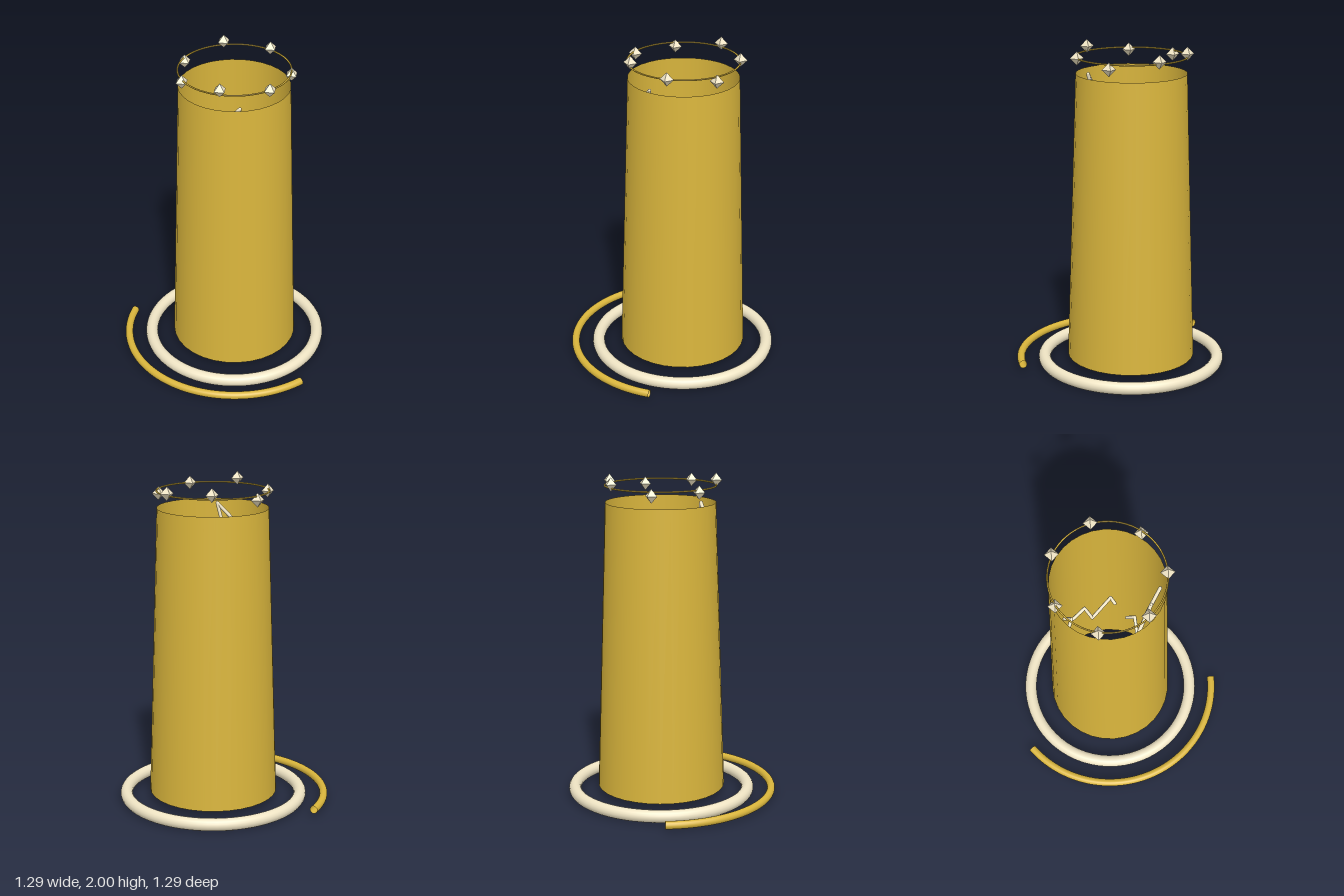
import * as THREE from 'three';

const C = -0.067; // the shaft axis sits slightly off the origin, in x and z

export function createModel() {
  const group = new THREE.Group();
  const gold = new THREE.MeshStandardMaterial({ color: 0xd9b53c });
  const goldThin = new THREE.MeshStandardMaterial({ color: 0xd9b53c, side: THREE.DoubleSide });
  const cream = new THREE.MeshStandardMaterial({ color: 0xefe4c4 });

  const add = (name, geometry, material, x, y, z, parent = group) => {
    const mesh = new THREE.Mesh(geometry, material);
    mesh.name = name;
    mesh.position.set(x, y, z);
    parent.add(mesh);
    return mesh;
  };

  // Open tapered shaft
  add('shaft', new THREE.CylinderGeometry(0.333, 0.393, 1.77, 32, 1, true), goldThin, C, 0.945, C);

  // Ground ring, partial outer arc and thin halo above the shaft
  const flatRing = (name, radius, tube, y, arc, material, sides = 16) =>
    add(name, new THREE.TorusGeometry(radius, tube, sides, 64, arc).rotateX(Math.PI / 2), material, C, y, C);
  flatRing('groundRing', 0.54, 0.038, 0.04, Math.PI * 2, cream);
  flatRing('outerArc', 0.688, 0.024, 0.043, 2.5, goldThin);
  flatRing('halo', 0.333, 0.005, 1.93, Math.PI * 2, gold, 8);

  // Seven gems riding the halo in a gentle wave
  const gems = new THREE.Group();
  gems.name = 'haloGems';
  group.add(gems);
  for (let i = 0; i < 7; i++) {
    const a = (i / 7) * Math.PI * 2;
    add('gem', new THREE.OctahedronGeometry(0.042), cream,
      C + Math.cos(a) * 0.333, 1.93 + Math.sin(2 * a) * 0.03, C + Math.sin(a) * 0.333, gems);
  }

  // Jagged filaments along the inner wall: corner points [x, y, z]
  const filaments = [
    [[0.23, 1.7, -0.07], [0.13, 1.68, 0.09], [0.165, 1.81, 0.07], [0.09, 1.68, 0.175]],
    [[0.01, 1.3, 0.215], [-0.02, 1.34, 0.175], [-0.06, 1.28, 0.175], [-0.15, 1.33, 0.22], [-0.155, 1.27, 0.115], [-0.265, 1.32, 0.15]],
    [[-0.315, 1.0, 0.08], [-0.305, 1.05, 0], [-0.35, 0.98, -0.03], [-0.29, 1.03, -0.18], [-0.335, 0.99, -0.2]],
    [[-0.28, 0.8, -0.27], [-0.205, 0.84, -0.32], [-0.16, 0.78, -0.275], [-0.035, 0.83, -0.385], [-0.01, 0.8, -0.355]],
    [[0.065, 0.6, -0.33], [0.115, 0.65, -0.31], [0.125, 0.59, -0.17], [0.205, 0.63, -0.2], [0.225, 0.58, -0.175], [0.23, 0.62, -0.09]],
  ];
  const up = new THREE.Vector3(0, 1, 0);
  for (const corners of filaments) {
    const filament = new THREE.Group();
    filament.name = 'filament';
    group.add(filament);
    const pts = corners.map((p) => new THREE.Vector3(...p));
    pts.forEach((p, i) => {
      add('filamentJoint', new THREE.SphereGeometry(0.011, 8, 6), cream, p.x, p.y, p.z, filament);
      if (i === 0) return;
      const dir = p.clone().sub(pts[i - 1]);
      const mid = p.clone().add(pts[i - 1]).multiplyScalar(0.5);
      const rod = add('filamentRod', new THREE.CylinderGeometry(0.011, 0.011, dir.length(), 8),
        cream, mid.x, mid.y, mid.z, filament);
      rod.quaternion.setFromUnitVectors(up, dir.normalize());
    });
  }
  return group;
}
